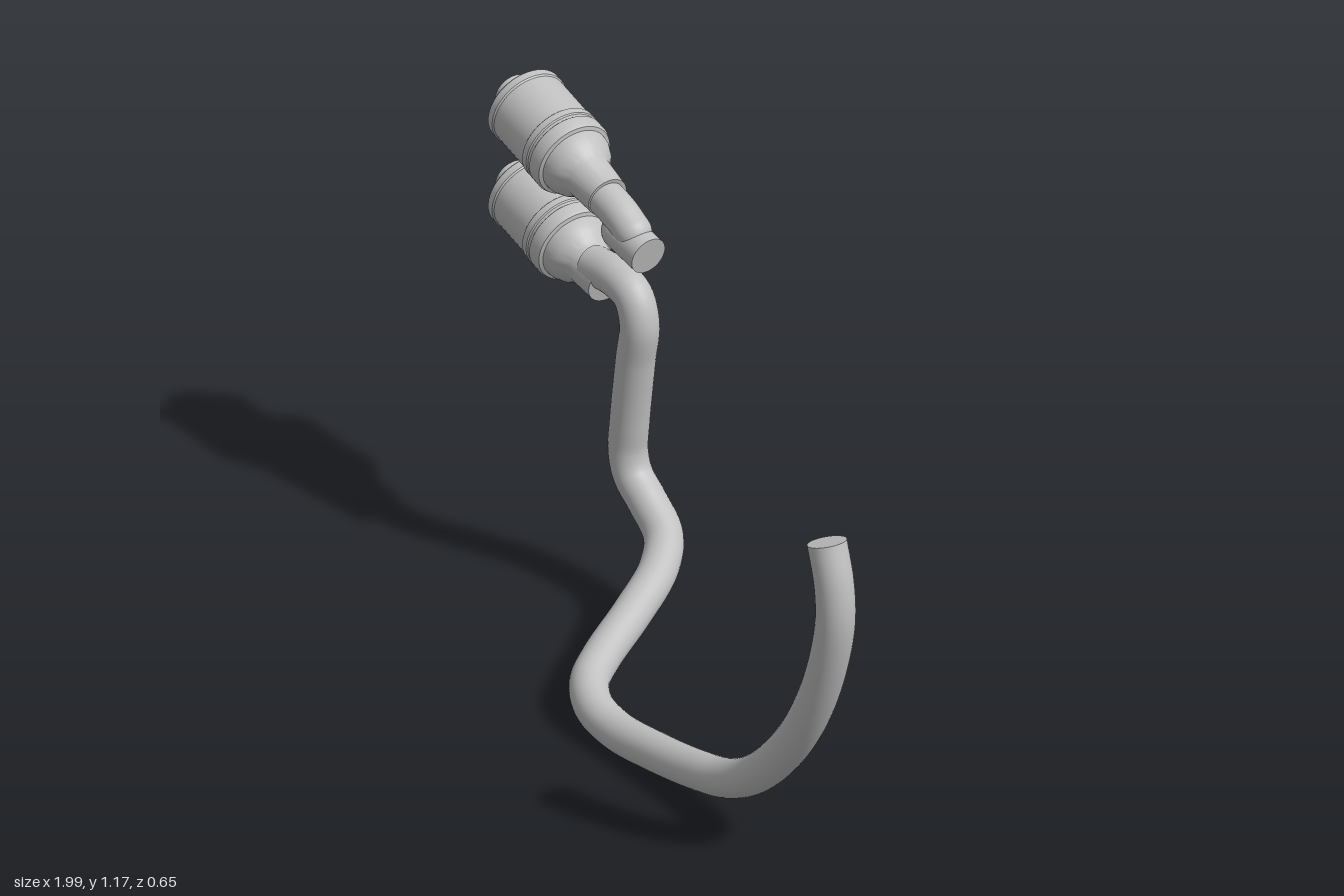
import * as THREE from 'three';
import { toCreasedNormals } from 'three/addons/utils/BufferGeometryUtils.js';

const UP = new THREE.Vector3(0, 1, 0);
const HOSE_R = 0.047;

export function createModel() {
  const model = new THREE.Group();
  model.name = 'hoseWithCouplings';
  const grey = new THREE.MeshStandardMaterial({ color: 0xc0c0c0 });
  grey.name = 'light grey';

  const add = (parent, name, geometry) => {
    const mesh = new THREE.Mesh(geometry, grey);
    mesh.name = name;
    parent.add(mesh);
    return mesh;
  };

  // Round hose along a smooth path; each end is 'flat' or 'round'
  function hose(name, coords, radius, segments, ends) {
    const group = new THREE.Group();
    group.name = name;
    const curve = new THREE.CatmullRomCurve3(coords.map((p) => new THREE.Vector3(...p)), false, 'centripetal');
    add(group, name + 'Tube', new THREE.TubeGeometry(curve, segments, radius, 32));
    ends.forEach((kind, i) => {
      const outward = curve.getTangentAt(i).multiplyScalar(i ? 1 : -1);
      const cap = add(group, name + 'End', kind === 'flat'
        ? new THREE.CircleGeometry(radius, 32).rotateX(-Math.PI / 2)
        : new THREE.SphereGeometry(radius, 32, 10, 0, Math.PI * 2, 0, Math.PI / 2));
      cap.position.copy(curve.getPointAt(i));
      cap.quaternion.setFromUnitVectors(UP, outward);
    });
    model.add(group);
  }

  // Main hose: short elbow, drop, diagonal step forward, then a wide sweep up
  const back = -0.198, front = 0.274;
  hose('mainHose', [
    [-0.63, 0.8, back], [-0.53, 0.803, back], [-0.475, 0.785, back], [-0.45, 0.725, back],
    [-0.465, 0.62, back], [-0.488, 0.45, back], [-0.494, 0.37, back], [-0.475, 0.315, back],
    [-0.42, 0.27, back], [-0.34, 0.22, -0.185], [-0.27, 0.183, -0.12], [-0.195, 0.143, 0.01],
    [-0.12, 0.105, 0.155], [-0.07, 0.085, 0.225], [0, 0.065, 0.264], [0.1, 0.05, front],
    [0.25, 0.06, front], [0.42, 0.085, front], [0.53, 0.113, front], [0.63, 0.165, front],
    [0.74, 0.265, front], [0.84, 0.4, front], [0.915, 0.56, front], [0.952, 0.71, front],
    [0.947, 0.81, front], [0.92, 0.905, front],
  ], HOSE_R, 240, ['flat', 'flat']);

  // Bent neck behind the upper coupling, and the cut hose stub below it
  hose('upperNeck', [[-0.62, 1.005, back], [-0.53, 0.98, back], [-0.476, 0.952, back]], 0.045, 16, ['flat', 'round']);
  hose('hoseStub', [[-0.52, 0.936, back], [-0.415, 0.915, back]], HOSE_R, 4, ['round', 'flat']);

  // Coupling profile as [radius, distance from the open face]
  const profile = [
    [0, 0.0], [0.033, 0.0], [0.037, -0.05], [0.047, -0.05], [0.047, 0.03], // hollow plug
    [0.082, 0.03], [0.088, 0], [0.097, 0], [0.1, 0.004], [0.1, 0.022], [0.097, 0.026], // open rim
    [0.097, 0.152], [0.1, 0.155], [0.1, 0.172], [0.097, 0.175], [0.097, 0.183], // grip rings
    [0.1, 0.186], [0.1, 0.212], [0.096, 0.222], [0.087, 0.225], [0.086, 0.238],
    [0.076, 0.262], [0.06, 0.28], [0.057, 0.286], // shoulder
    [0.051, 0.368], [0, 0.368], // sleeve
  ].map(([r, t]) => new THREE.Vector2(r, t));
  const couplingGeometry = toCreasedNormals(new THREE.LatheGeometry(profile, 48), 0.5);
  const axis = new THREE.Vector3(1, -0.225, 0.07).normalize();

  for (const [name, y] of [['upperCoupling', 1.078], ['lowerCoupling', 0.853]]) {
    const coupling = add(model, name, couplingGeometry);
    coupling.position.set(-0.935, y, -0.225);
    coupling.quaternion.setFromUnitVectors(UP, axis);
  }

  return model;
}
